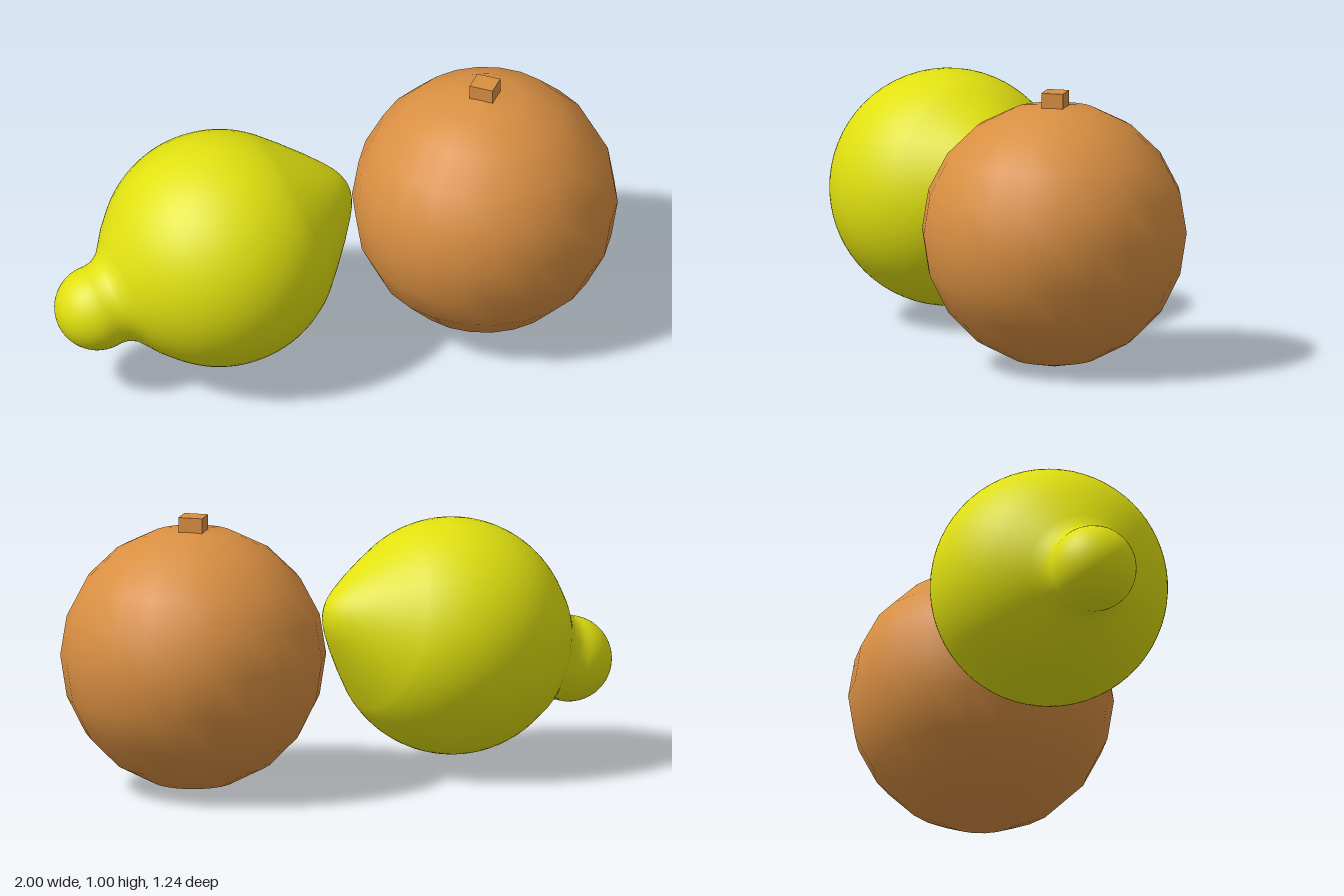
import * as THREE from 'three';

export function createModel() {
  const group = new THREE.Group();
  const lemonYellow = new THREE.MeshStandardMaterial({ color: 0xe0e010 });
  lemonYellow.name = 'lemonYellow';
  const orangePeel = new THREE.MeshStandardMaterial({ color: 0xd98f42 });
  orangePeel.name = 'orangePeel';

  const add = (name, geometry, material, x, y, z) => {
    const mesh = new THREE.Mesh(geometry, material);
    mesh.name = name;
    mesh.position.set(x, y, z);
    group.add(mesh);
    return mesh;
  };

  // Lemon: one lathe along its axis, from the round nub through the neck to the blunt tip
  const profile = [];
  const arc = (centre, radius, from, to, steps) => {
    for (let i = 0; i <= steps; i++) {
      const a = THREE.MathUtils.degToRad(from + ((to - from) * i) / steps);
      profile.push(new THREE.Vector2(Math.max(0, radius * Math.sin(a)), centre - radius * Math.cos(a)));
    }
  };
  arc(-0.49, 0.155, 0, 98, 14);
  [[0.158, -0.44], [0.175, -0.41], [0.21, -0.382], [0.25, -0.352]]
    .forEach(([r, s]) => profile.push(new THREE.Vector2(r, s)));
  arc(0, 0.427, 43, 132, 26);
  [[0.25, 0.352], [0.175, 0.42], [0.115, 0.469], [0.08, 0.494], [0.05, 0.509], [0.025, 0.517], [0, 0.52]]
    .forEach(([r, s]) => profile.push(new THREE.Vector2(r, s)));
  const lemon = add('lemon', new THREE.LatheGeometry(profile, 64), lemonYellow, -0.417, 0.488, 0.193);
  const axis = new THREE.Vector3(0.88, 0.27, -0.42).normalize();
  lemon.quaternion.setFromUnitVectors(new THREE.Vector3(0, 1, 0), axis);

  // Orange: coarse smooth sphere, slightly flattened at the top and pointed below
  const rind = [];
  for (let i = 0; i <= 10; i++) {
    const a = (Math.PI * i) / 10;
    const height = i === 0 ? -0.495 : i === 10 ? 0.458 : -Math.cos(a) * (i > 5 ? 0.466 : 0.488);
    rind.push(new THREE.Vector2(i % 10 ? 0.477 * Math.sin(a) : 0, height));
  }
  const orange = add('orange', new THREE.LatheGeometry(rind, 22), orangePeel, 0.52, 0.5, -0.147);
  orange.rotation.y = Math.PI / 2;

  // Square stem on the orange
  const stem = add('orangeStem', new THREE.BoxGeometry(0.088, 0.1, 0.08), orangePeel, 0.52, 0.957, -0.15);
  stem.rotation.y = -0.3;

  return group;
}
